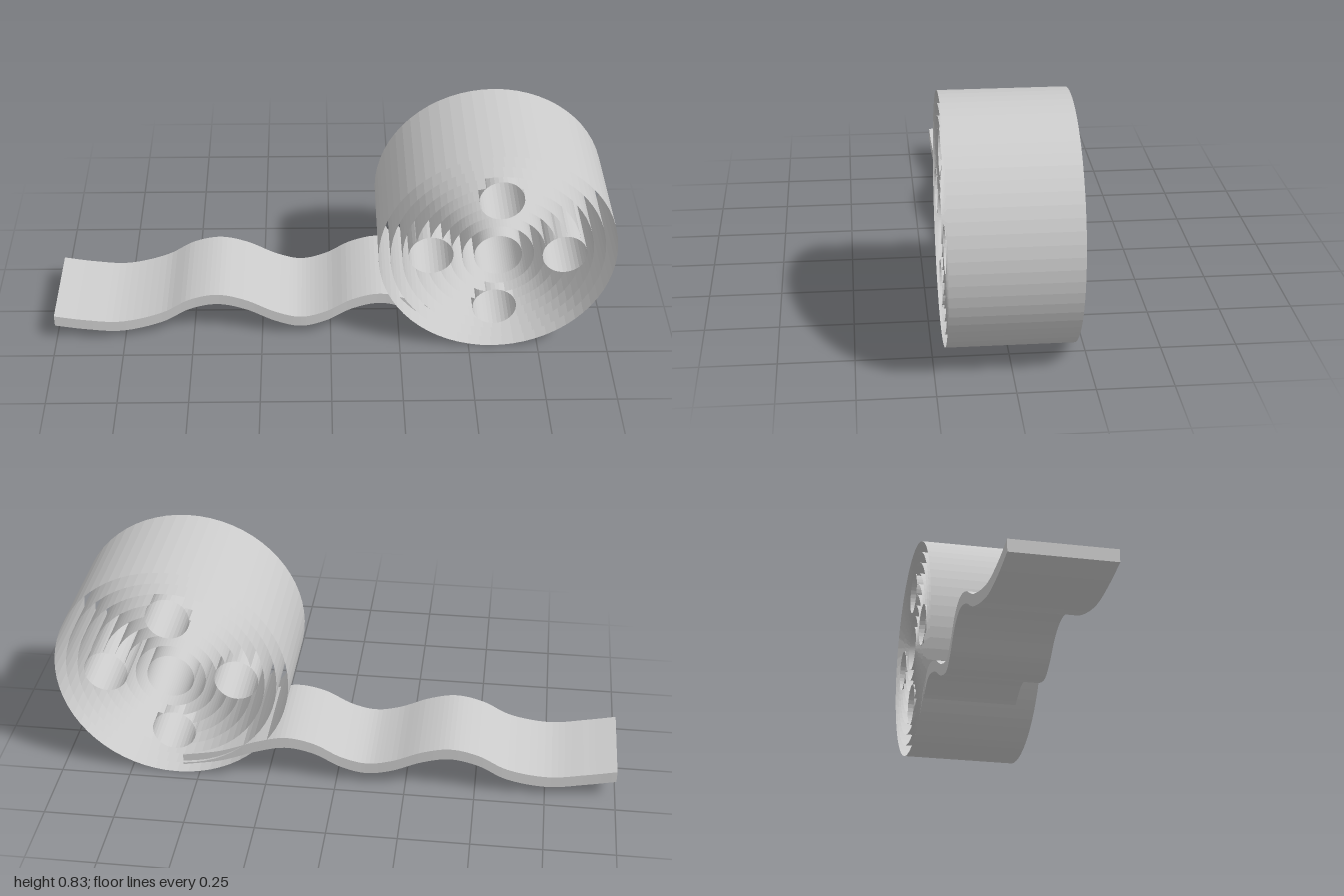
import * as THREE from 'three';

const LAYER = 0.0417;          // thickness of one wound layer
const WIDTH = 0.42;            // roll width along z
const CX = 0.583, CY = 0.418;  // roll axis
const HOLE_DIST = 5.6 * LAYER, HOLE_R = 1.87 * LAYER;

const material = new THREE.MeshStandardMaterial({ color: 0xcccccc, flatShading: true, side: THREE.DoubleSide });

function addMesh(parent, geometry, name) {
  const mesh = new THREE.Mesh(geometry, material);
  mesh.name = name;
  parent.add(mesh);
  return mesh;
}

// Open tube wall (or part of one) with its axis along z
function wall(radius, segments, start = 0, length = Math.PI * 2) {
  return new THREE.CylinderGeometry(radius, radius, WIDTH, segments, 1, true, start, length).rotateX(Math.PI / 2);
}

function buildRoll() {
  const roll = new THREE.Group();
  roll.name = 'roll';
  roll.position.set(CX, CY, 0);

  // Concentric layers, interrupted where the four bores pass through
  for (let i = 2; i <= 10; i++) {
    const r = i * LAYER;
    const name = i === 10 ? 'outerLayer' : i === 2 ? 'coreBore' : 'innerLayer';
    if (Math.abs(r - HOLE_DIST) >= HOLE_R) {
      addMesh(roll, wall(r, 64), name);
      continue;
    }
    const half = Math.acos((r * r + HOLE_DIST ** 2 - HOLE_R ** 2) / (2 * r * HOLE_DIST));
    for (let q = 0; q < 4; q++) {
      addMesh(roll, wall(r, 12, q * Math.PI / 2 + half, Math.PI / 2 - 2 * half), name);
    }
  }

  // Four bores around the core
  for (let q = 0; q < 4; q++) {
    const a = q * Math.PI / 2;
    addMesh(roll, wall(HOLE_R, 32), 'bore')
      .position.set(Math.cos(a) * HOLE_DIST, Math.sin(a) * HOLE_DIST, 0);
  }
  return roll;
}

// Wavy loose end: a rectangular section swept along a curve
function buildStrip() {
  const path = new THREE.CatmullRomCurve3([
    [-1, 0.093, -0.007], [-0.89, 0.072, -0.010], [-0.76, 0.057, -0.018], [-0.61, 0.088, -0.031],
    [-0.51, 0.142, -0.037], [-0.41, 0.163, -0.038], [-0.31, 0.140, -0.036], [-0.2, 0.088, -0.030],
    [-0.11, 0.067, -0.026], [-0.02, 0.088, -0.029], [0.08, 0.142, -0.034], [0.18, 0.163, -0.038],
    [0.28, 0.138, -0.036], [0.42, 0.080, -0.030], [0.56, 0.048, -0.026],
  ].map((p) => new THREE.Vector3(...p)));
  const steps = 80, halfW = 0.172, halfT = 0.0215;
  const positions = [], index = [];
  for (let i = 0; i <= steps; i++) {
    const p = path.getPoint(i / steps);
    for (const [y, z] of [[-1, -1], [-1, 1], [1, 1], [1, -1]]) {
      positions.push(p.x, p.y + y * halfT, p.z + z * halfW);
    }
  }
  for (let i = 0; i < steps; i++) {
    for (let k = 0; k < 4; k++) {
      const a = i * 4 + k, b = i * 4 + (k + 1) % 4;
      index.push(a, a + 4, b, b, a + 4, b + 4);
    }
  }
  const e = steps * 4;
  index.push(0, 1, 2, 0, 2, 3, e, e + 2, e + 1, e, e + 3, e + 2);
  const geometry = new THREE.BufferGeometry();
  geometry.setAttribute('position', new THREE.Float32BufferAttribute(positions, 3));
  geometry.setIndex(index);
  geometry.computeVertexNormals();
  return geometry;
}

export function createModel() {
  const model = new THREE.Group();
  model.name = 'tapeRoll';
  model.add(buildRoll());
  addMesh(model, buildStrip(), 'looseStrip');
  return model;
}
